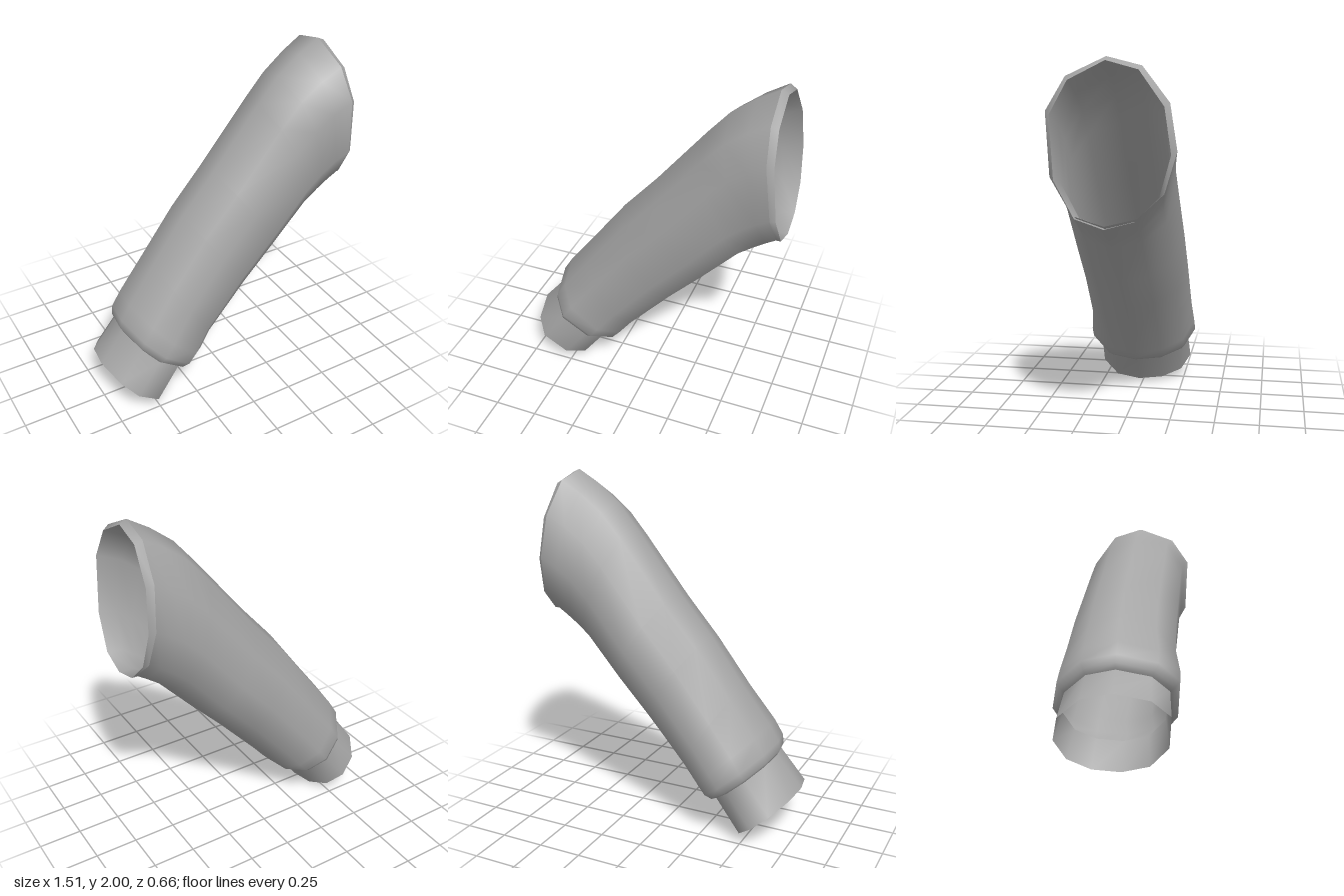
import * as THREE from 'three';

// Faceted unit outline shared by every ring: [across z, from bottom -1 to top 1]
const OUTLINE = [
  [0.08, 1], [-0.46, 0.89], [-0.88, 0.46], [-1, -0.1], [-0.82, -0.6], [-0.42, -0.9],
  [0.08, -1], [0.57, -0.88], [0.92, -0.42], [1, 0.36], [0.7, 0.77],
];

// Ring: [top x, top y, bottom x, bottom y, half width in z, centre z]
const NECK = [
  [-0.76, 0.28, -0.42, 0.0, 0.29, 0.005],
  [-0.61, 0.46, -0.28, 0.19, 0.28, 0],
];
const BODY = [
  [-0.61, 0.46, -0.28, 0.19, 0.28, 0],
  [-0.625, 0.49, -0.25, 0.18, 0.305, 0],
  [-0.615, 0.54, -0.21, 0.2, 0.33, 0],
  [-0.56, 0.63, -0.165, 0.25, 0.328, 0],
  [-0.4, 0.84, -0.1, 0.33, 0.31, -0.01],
  [-0.2, 1.11, 0.15, 0.61, 0.306, -0.012],
  [0.0, 1.34, 0.34, 0.81, 0.306, -0.01],
  [0.28, 1.69, 0.54, 1.03, 0.303, -0.003],
  [0.4, 1.83, 0.62, 1.09, 0.305, 0],
  [0.53, 1.93, 0.68, 1.135, 0.315, 0],
  [0.65, 2.0, 0.735, 1.175, 0.33, 0],
];
const LIP_EDGE = [0.69, 1.98, 0.755, 1.163, 0.303, 0];

// Shrinks a ring towards its own centre by a wall thickness
function inset([xt, yt, xb, yb, hz, cz], t) {
  const len = Math.hypot(xt - xb, yt - yb);
  const dx = (xt - xb) / len * t, dy = (yt - yb) / len * t;
  return [xt - dx, yt - dy, xb + dx, yb + dy, hz - t, cz];
}

// Skins a smooth surface over consecutive rings
function skin(name, rings, material) {
  const pos = [], index = [], n = OUTLINE.length;
  for (const [xt, yt, xb, yb, hz, cz] of rings) {
    for (const [w, v] of OUTLINE) {
      const k = (v + 1) / 2;
      pos.push(xb + (xt - xb) * k, yb + (yt - yb) * k, cz + w * hz);
    }
  }
  for (let i = 0; i < rings.length - 1; i++) {
    for (let j = 0; j < n; j++) {
      const a = i * n + j, b = i * n + (j + 1) % n;
      index.push(a, a + n, b, b, a + n, b + n);
    }
  }
  const geometry = new THREE.BufferGeometry();
  geometry.setAttribute('position', new THREE.Float32BufferAttribute(pos, 3));
  geometry.setIndex(index);
  geometry.computeVertexNormals();
  const mesh = new THREE.Mesh(geometry, material);
  mesh.name = name;
  return mesh;
}

export function createModel() {
  const group = new THREE.Group();
  group.name = 'slantedPipeTip';
  const metal = new THREE.MeshStandardMaterial({ color: 0xa6a6a6 });
  metal.name = 'grey metal';

  // Outer shell: narrow neck, then the collar and flared body
  group.add(skin('neck', NECK, metal));
  group.add(skin('body', BODY, metal));

  // Bevelled lip around the slanted mouth
  group.add(skin('lip', [BODY[BODY.length - 1], LIP_EDGE], metal));

  // Inner wall, listed from mouth to neck so that it faces inwards
  const inner = [
    LIP_EDGE,
    ...BODY.slice(1, -1).reverse().map((r) => inset(r, 0.025)),
    inset(NECK[1], 0.012),
    NECK[0],
  ];
  group.add(skin('innerWall', inner, metal));

  return group;
}
